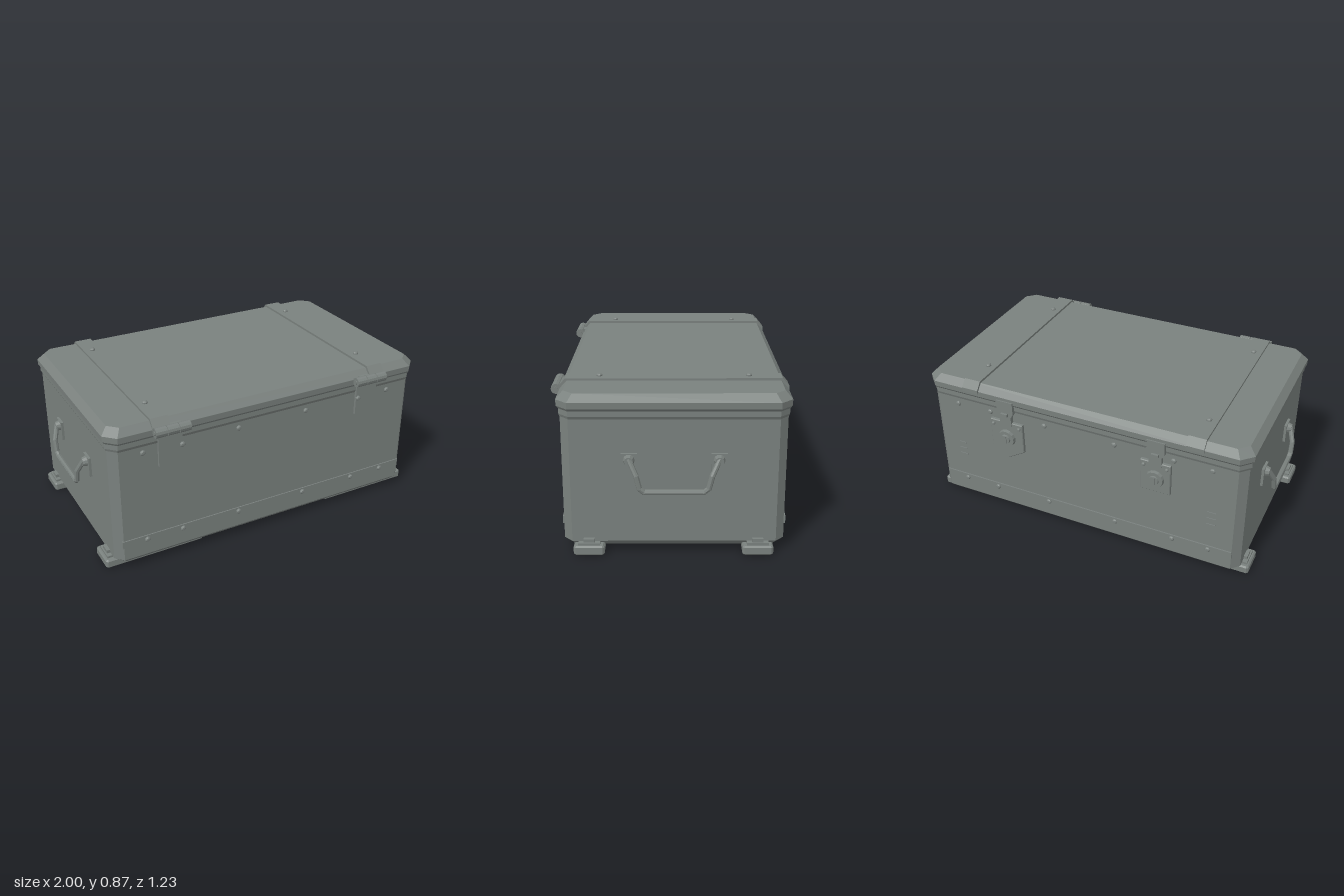
import * as THREE from 'three';

const CZ = -0.009; // depth centre of the case
const steel = new THREE.MeshStandardMaterial({ color: 0x7a817e, flatShading: true });
steel.name = 'grey painted steel';

// Stack of chamfered rectangles, each ring: [y, halfX, halfZ, chamfer]
function octagonLoft(rings) {
  const pos = [];
  const loops = rings.map(([y, x, z, c]) => [
    [x, z - c], [x - c, z], [-x + c, z], [-x, z - c],
    [-x, -z + c], [-x + c, -z], [x - c, -z], [x, -z + c],
  ].map(([px, pz]) => [px, y, pz + CZ]));
  for (let r = 0; r < loops.length - 1; r++) {
    for (let i = 0; i < 8; i++) {
      const j = (i + 1) % 8, a = loops[r], b = loops[r + 1];
      pos.push(...a[i], ...b[j], ...a[j], ...a[i], ...b[i], ...b[j]);
    }
  }
  const lo = loops[0], hi = loops[loops.length - 1];
  for (let i = 1; i < 7; i++) {
    pos.push(...lo[0], ...lo[i], ...lo[i + 1], ...hi[0], ...hi[i + 1], ...hi[i]);
  }
  const g = new THREE.BufferGeometry();
  g.setAttribute('position', new THREE.Float32BufferAttribute(pos, 3));
  g.computeVertexNormals();
  return g;
}

function add(parent, name, geometry, x = 0, y = 0, z = 0) {
  const m = new THREE.Mesh(geometry, steel);
  m.name = name;
  m.position.set(x, y, z);
  parent.add(m);
  return m;
}

// Box given by its limits
function block(parent, name, x0, x1, y0, y1, z0, z1) {
  return add(parent, name, new THREE.BoxGeometry(x1 - x0, y1 - y0, z1 - z0),
    (x0 + x1) / 2, (y0 + y1) / 2, (z0 + z1) / 2);
}

function extrude(points, depth, bevel = 0) {
  const shape = new THREE.Shape(points.map(([a, b]) => new THREE.Vector2(a, b)));
  return new THREE.ExtrudeGeometry(shape, {
    depth, bevelEnabled: bevel > 0, bevelSize: bevel, bevelThickness: bevel, bevelOffset: -bevel, bevelSegments: 1,
  });
}

// Domed stud; dir is the axis it points along
function rivet(parent, x, y, z, dir, r = 0.015) {
  const pts = [[0.001, -0.006], [r, -0.006], [r, 0.004], [r * 0.65, 0.01], [0, 0.011]];
  const m = add(parent, 'rivet', new THREE.LatheGeometry(pts.map(p => new THREE.Vector2(...p)), 10), x, y, z);
  m.quaternion.setFromUnitVectors(new THREE.Vector3(0, 1, 0), new THREE.Vector3(...dir));
}

function disc(parent, name, r0, r1, h, x, y, z, axis, sides = 14) {
  const m = add(parent, name, new THREE.CylinderGeometry(r1, r0, h, sides), x, y, z);
  if (axis === 'x') m.rotation.z = -Math.PI / 2;
  if (axis === 'z') m.rotation.x = Math.PI / 2;
  return m;
}

function sideHandle(side) {
  const g = new THREE.Group();
  g.name = side > 0 ? 'leftHandle' : 'rightHandle';
  for (const s of [1, -1]) {
    const z = CZ + s * 0.222;
    block(g, 'handlePlate', 0.92, 0.942, 0.43, 0.54, z - 0.04, z + 0.04);
    disc(g, 'handleBoss', 0.03, 0.022, 0.025, 0.953, 0.508, z, 'x', 10);
  }
  // Bar: straight runs joined at bends
  const half = [[0.955, 0.515, 0.222], [0.984, 0.44, 0.186], [0.985, 0.375, 0.17], [0.983, 0.356, 0.148]];
  const pts = [...half, ...half.slice().reverse().map(([x, y, z]) => [x, y, -z])]
    .map(([x, y, z]) => new THREE.Vector3(x, y, z + CZ));
  const path = new THREE.CurvePath();
  for (let i = 0; i < pts.length - 1; i++) {
    const a = pts[i], b = pts[i + 1], d = b.clone().sub(a);
    const bar = disc(g, 'handleBar', 0.014, 0.014, d.length() + 0.008, 0, 0, 0, 'y', 8);
    bar.position.copy(a).add(b).multiplyScalar(0.5);
    bar.quaternion.setFromUnitVectors(new THREE.Vector3(0, 1, 0), d.normalize());
  }
  if (side < 0) g.rotation.y = Math.PI, g.position.z = 2 * CZ;
  return g;
}

function hinge(x) {
  const g = new THREE.Group();
  g.name = 'hinge';
  const s = Math.sign(x);
  block(g, 'hingeLeaf', x - 0.067, x + 0.067, 0.58, 0.79, 0.545, 0.563);
  block(g, 'hingeTab', x - 0.06, x + 0.06, 0.775, 0.815, 0.55, 0.585);
  for (let i = -1; i <= 1; i++) {
    disc(g, 'hingeKnuckle', 0.027, 0.027, 0.062, x + i * 0.065, 0.795, 0.588, 'x', 12);
  }
  disc(g, 'hingePin', 0.012, 0.012, 0.2, x, 0.795, 0.588, 'x', 8);
  rivet(g, s * 0.543, 0.68, 0.564, [0, 0, 1]);
  return g;
}

function latch(x, pointed) {
  const g = new THREE.Group();
  g.name = 'latch';
  const w = pointed ? 0.1 : 0.085;
  const outline = pointed
    ? [[-w, 0.47], [0, 0.41], [w, 0.47], [w, 0.65], [-w, 0.65]]
    : [[-w, 0.46], [w, 0.46], [w, 0.65], [-w, 0.65]];
  add(g, 'latchPlate', extrude(outline, 0.022, 0.004), x, 0, -0.582);
  disc(g, 'lockRing', 0.048, 0.054, 0.022, x, 0.548, -0.591, 'z');
  disc(g, 'lockCore', 0.026, 0.03, 0.016, x, 0.548, -0.602, 'z');
  block(g, 'lockKey', x - 0.007, x + 0.007, 0.525, 0.571, -0.614, -0.6);
  // Hasp hanging from the lid
  const hasp = [[-0.035, 0.63], [0.035, 0.63], [0.035, 0.69], [0.05, 0.71], [0.05, 0.785], [-0.05, 0.785], [-0.05, 0.71], [-0.035, 0.69]];
  add(g, 'hasp', extrude(hasp, 0.025), x, 0, -0.591);
  block(g, 'haspHook', x - 0.02, x + 0.02, 0.695, 0.712, -0.604, -0.585);
  for (const s of [1, -1]) rivet(g, x + s * (w - 0.02), 0.625, -0.588, [0, 0, -1], 0.01);
  return g;
}

export function createModel() {
  const model = new THREE.Group();
  model.name = 'storageCase';

  // Shell
  add(model, 'body', octagonLoft([
    [0.032, 0.9, 0.53, 0.035], [0.062, 0.928, 0.558, 0.043], [0.73, 0.928, 0.558, 0.043],
  ]));
  add(model, 'lid', octagonLoft([
    [0.712, 0.927, 0.557, 0.043], [0.73, 0.936, 0.564, 0.05], [0.757, 0.936, 0.564, 0.05],
    [0.77, 0.946, 0.574, 0.058], [0.803, 0.948, 0.576, 0.06], [0.841, 0.912, 0.541, 0.05],
  ]));

  // Straps over the lid, bent down at both ends
  const strap = [
    [0.56, 0.79], [0.575, 0.79], [0.575, 0.812], [0.54, 0.853],
    [-0.557, 0.853], [-0.592, 0.812], [-0.592, 0.79], [-0.57, 0.79], [-0.57, 0.81], [-0.545, 0.835], [0.53, 0.835], [0.56, 0.81],
  ].map(([z, y]) => [-z, y]);
  for (const x of [-0.657, 0.652]) {
    add(model, 'lidStrap', extrude(strap, 0.096), x - 0.048).rotation.y = Math.PI / 2;
    for (const z of [-0.39, 0.37]) rivet(model, x, 0.855, z, [0, 1, 0]);
  }

  // Reinforcing strips and rivet rows, front and back
  block(model, 'frontStrip', -0.893, 0.887, 0.14, 0.182, 0.54, 0.555);
  block(model, 'backStrip', -0.887, 0.887, 0.14, 0.182, -0.574, -0.55);
  for (const x of [-0.755, -0.548, -0.21, 0.205, 0.54, 0.75]) {
    rivet(model, x, 0.16, 0.556, [0, 0, 1]);
    rivet(model, x, 0.16, -0.574, [0, 0, -1]);
    rivet(model, -x, 0.68, -0.568, [0, 0, -1]);
    if (Math.abs(x) < 0.5 || Math.abs(x) > 0.7) rivet(model, x, 0.68, 0.55, [0, 0, 1]);
  }

  // Small ridges on the back
  for (const x of [-0.76, 0.76]) {
    for (const y of [0.33, 0.37, 0.41]) block(model, 'backRidge', x - 0.025, x + 0.025, y - 0.003, y + 0.003, -0.571, -0.56);
  }

  // Hinges, latches and handles
  model.add(hinge(-0.607), hinge(0.598));
  model.add(latch(0.44, true), latch(-0.447, false));
  model.add(sideHandle(1), sideHandle(-1));

  // Skid feet with their end lugs
  for (const sx of [1, -1]) {
    for (const z of [0.42, -0.432]) {
      const skid = extrude([[0.41, -0.078], [0.96, -0.078], [0.97, -0.068], [0.97, 0.068], [0.96, 0.078], [0.41, 0.078]], 0.034, 0.008);
      const foot = add(model, 'foot', skid, 0, 0.008, z);
      foot.rotation.x = -Math.PI / 2;
      if (sx < 0) foot.rotation.set(-Math.PI / 2, 0, Math.PI);
      block(model, 'footLug', sx * 0.925 - 0.03, sx * 0.925 + 0.03, 0.045, 0.062, z - 0.055, z + 0.055);
      block(model, 'footBolt', sx * 0.925 - 0.022, sx * 0.925 + 0.022, 0.055, 0.08, z - 0.028, z + 0.028);
    }
  }
  return model;
}
